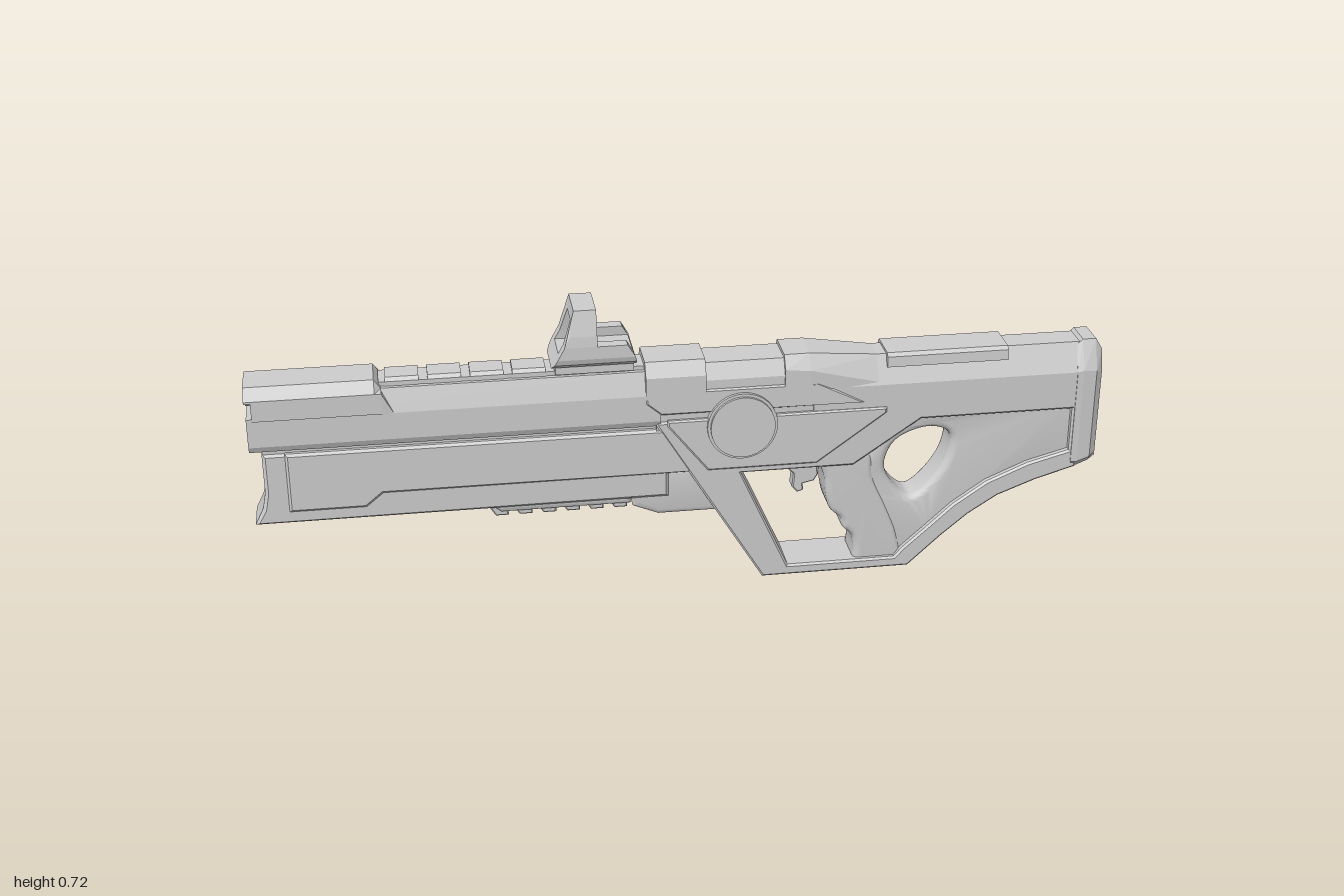
import * as THREE from 'three';
import { toCreasedNormals } from 'three/addons/utils/BufferGeometryUtils.js';

export function createModel() {
  const model = new THREE.Group();
  model.name = 'rifle';
  const grey = new THREE.MeshStandardMaterial({ color: 0xcccccc });
  grey.name = 'grey';

  const add = (name, geo) => {
    const mesh = new THREE.Mesh(geo, grey);
    mesh.name = name;
    model.add(mesh);
    return mesh;
  };
  const vecs = (pts) => pts.map(([x, y]) => new THREE.Vector2(x, y));
  // closed smooth outline through a few points
  const smooth = (pts, n = 40) => {
    const v = pts.map(([x, y]) => new THREE.Vector3(x, y, 0));
    return new THREE.CatmullRomCurve3(v, true).getPoints(n).slice(0, n).map((p) => [p.x, p.y]);
  };

  // side outline extruded symmetrically across z, with bevelled edges
  const plate = (name, pts, half, bevel = 0.008, holes = [], segs = 1) => {
    const shape = new THREE.Shape(vecs(pts));
    holes.forEach((h) => shape.holes.push(new THREE.Path(vecs(h))));
    const geo = new THREE.ExtrudeGeometry(shape, {
      depth: 2 * (half - bevel), bevelEnabled: true, bevelThickness: bevel,
      bevelSize: bevel, bevelOffset: -bevel, bevelSegments: segs,
    });
    geo.translate(0, 0, -(half - bevel));
    return add(name, toCreasedNormals(geo, 0.55));
  };

  // loft along x; each section is [x, half profile of [z, y] from bottom to top]
  const loft = (name, sections) => {
    const pos = [];
    const rings = sections.map(([x, half]) => {
      const ring = half.map(([z, y]) => [x, y, z]);
      return ring.concat(half.map(([z, y]) => [x, y, -z]).reverse());
    });
    const n = rings[0].length;
    const tri = (a, b, c) => pos.push(...a, ...b, ...c);
    for (let i = 0; i < rings.length - 1; i++) {
      for (let j = 0; j < n; j++) {
        const k = (j + 1) % n;
        tri(rings[i][j], rings[i + 1][j], rings[i + 1][k]);
        tri(rings[i][j], rings[i + 1][k], rings[i][k]);
      }
    }
    const first = rings[0], last = rings[rings.length - 1];
    for (let j = 1; j < n - 1; j++) {
      tri(first[0], first[j], first[j + 1]);
      tri(last[0], last[j + 1], last[j]);
    }
    const geo = new THREE.BufferGeometry();
    geo.setAttribute('position', new THREE.Float32BufferAttribute(pos, 3));
    geo.computeVertexNormals();
    return add(name, geo);
  };
  const prism = (name, x0, x1, half) => loft(name, [[x0, half], [x1, half]]);
  const box = (name, x0, x1, y0, y1, half) => prism(name, x0, x1, [[half, y0], [half, y1]]);

  // barrel shroud with a recessed seam beneath it
  prism('upperShroud', -0.98, -0.06, [[0.056, 0.42], [0.063, 0.435], [0.063, 0.5], [0.045, 0.555]]);
  prism('muzzleBand', -0.998, -0.9, [[0.056, 0.42], [0.063, 0.435], [0.063, 0.505]]);
  box('seam', -0.97, 0, 0.39, 0.43, 0.046);
  loft('muzzleTop', [
    [-1, [[0.066, 0.545], [0.066, 0.55], [0.045, 0.577]]],
    [-0.71, [[0.066, 0.545], [0.066, 0.55], [0.045, 0.577]]],
    [-0.695, [[0.066, 0.545], [0.066, 0.548], [0.046, 0.555]]],
  ]);
  loft('muzzleCheek', [
    [-0.985, [[0.066, 0.5], [0.066, 0.55]]],
    [-0.695, [[0.066, 0.5], [0.066, 0.55]]],
    [-0.67, [[0.064, 0.5], [0.064, 0.502]]],
  ]);
  const nub = add('muzzleTip', new THREE.CylinderGeometry(0.014, 0.014, 0.03, 16));
  nub.rotation.z = Math.PI / 2;
  nub.position.set(-0.985, 0.527, 0);

  // lower handguard and raised side panel
  plate('handguard', [[-1, 0.23], [-0.04, 0.23], [-0.04, 0.41], [-0.972, 0.41], [-0.972, 0.31], [-0.98, 0.27]], 0.052, 0.008);
  plate('handguardPanel', [[-0.92, 0.262], [-0.745, 0.262], [-0.705, 0.295], [0.03, 0.295], [-0.05, 0.41], [-0.92, 0.41]], 0.06, 0.006);

  // ribbed foregrip
  plate('foregrip', [[-0.48, 0.25], [-0.435, 0.215], [-0.13, 0.215], [-0.13, 0.29], [-0.45, 0.29]], 0.045, 0.012, [], 3);
  for (let i = 0; i < 6; i++) {
    const x = -0.46 + i * 0.056;
    plate('foregripRib', [[x + 0.012, 0.203], [x + 0.042, 0.203], [x + 0.042, 0.24], [x - 0.002, 0.24], [x - 0.002, 0.225]], 0.035, 0.003);
  }
  plate('foregripStop', [[-0.135, 0.25], [-0.125, 0.205], [-0.065, 0.18], [0.09, 0.18], [0.09, 0.3], [-0.135, 0.3]], 0.045, 0.015, [], 3);

  // top rail
  box('railBase', -0.7, -0.09, 0.55, 0.565, 0.034);
  for (let i = 0; i < 6; i++) {
    const x = -0.685 + i * 0.096;
    prism('railTooth', x, x + 0.076, [[0.036, 0.555], [0.036, 0.566], [0.028, 0.574]]);
  }

  // open sight: mount, cup and raked window frame
  box('sightMount', -0.3, -0.12, 0.56, 0.585, 0.045);
  const flip = (p) => p.map(([z, y]) => [-z, y]).reverse();
  const across = (name, outline, backX) => {
    const geo = new THREE.ExtrudeGeometry(new THREE.Shape(vecs(outline)), { depth: 1, bevelEnabled: false });
    const p = geo.attributes.position;
    for (let i = 0; i < p.count; i++) {
      const z = p.getX(i), y = p.getY(i);
      const frontX = y < 0.65 ? -0.31 + (y - 0.58) * 0.55 : -0.27 + (y - 0.65) * 0.2;
      p.setXYZ(i, p.getZ(i) > 0.5 ? backX(y) : frontX, y, -z);
    }
    geo.computeVertexNormals();
    add(name, geo);
  };
  const cup = [[0, 0.58], [0.05, 0.58], [0.066, 0.592], [0.07, 0.605], [0.07, 0.635], [0.041, 0.635], [0.043, 0.612], [0, 0.612]];
  const arch = [[0.07, 0.635], [0.067, 0.66], [0.052, 0.718]];
  const archHole = [[-0.041, 0.635], [-0.032, 0.69], [0.032, 0.69], [0.041, 0.635]];
  across('sightCup', [...cup, ...flip(cup).slice(1, -1)], (y) => (y < 0.6 ? -0.115 : -0.115 - (y - 0.6) * 0.6));
  across('sightWindow', [...arch, ...flip(arch), ...archHole], () => -0.205);

  // receiver core and top covers
  box('receiverCore', -0.07, 0.4, 0.305, 0.5, 0.057);
  prism('frontCollar', -0.095, 0.045, [[0.066, 0.49], [0.066, 0.545], [0.045, 0.578]]);
  prism('portCover', 0.045, 0.23, [[0.062, 0.49], [0.062, 0.53], [0.042, 0.567]]);
  loft('rearCover', [
    [0.23, [[0.066, 0.49], [0.066, 0.545], [0.045, 0.576]]],
    [0.29, [[0.066, 0.49], [0.066, 0.54], [0.045, 0.576]]],
    [0.47, [[0.058, 0.49], [0.058, 0.493], [0.03, 0.555]]],
  ]);

  // receiver side panels, parted by a groove
  plate('upperSidePanel', [[-0.06, 0.45], [0.42, 0.45], [0.31, 0.508], [-0.095, 0.508], [-0.095, 0.48]], 0.066, 0.004);
  plate('lowerSidePanel', [[-0.045, 0.42], [0.05, 0.3], [0.31, 0.3], [0.475, 0.42], [0.475, 0.434], [-0.045, 0.434]], 0.067, 0.004);

  // round side bosses
  [[0.083, 0.074], [0.076, 0.081]].forEach(([r, half]) => {
    const disc = add('sideDisc', new THREE.CylinderGeometry(r, r, 2 * half, 40));
    disc.rotation.x = Math.PI / 2;
    disc.position.set(0.13, 0.413, 0);
  });

  // lower frame: front strut, base and sweeping stock edge
  plate('lowerFrame',
    [[-0.07, 0.42], [0.185, 0], [0.545, 0], [0.625, 0.075], [0.69, 0.13], [0.76, 0.175], [0.85, 0.21], [0.95, 0.24], [0.95, 0.43], [-0.07, 0.43]],
    0.062, 0.005,
    [[[0.13, 0.285], [0.4, 0.285], [0.56, 0.395], [0.93, 0.395], [0.93, 0.285], [0.83, 0.258], [0.73, 0.215], [0.65, 0.16], [0.585, 0.1], [0.53, 0.05], [0.51, 0.027], [0.247, 0.027]]]);

  // hollowed stock web with a rounded opening
  plate('stockWeb',
    [[0.39, 0.34], [0.39, 0.2], [0.44, 0.015], [0.545, 0.015], [0.61, 0.075], [0.68, 0.135], [0.75, 0.185], [0.84, 0.225], [0.945, 0.255], [0.945, 0.425], [0.54, 0.425], [0.46, 0.36]],
    0.046, 0.018,
    [smooth([[0.482, 0.265], [0.508, 0.332], [0.59, 0.361], [0.638, 0.34], [0.632, 0.275], [0.585, 0.205], [0.55, 0.182], [0.518, 0.2]])], 5);

  // pistol grip with finger ridges
  plate('pistolGrip', smooth([
    [0.32, 0.31], [0.335, 0.25], [0.34, 0.2], [0.352, 0.16], [0.378, 0.135], [0.382, 0.112], [0.405, 0.088],
    [0.412, 0.055], [0.415, 0.012], [0.525, 0.012], [0.52, 0.08], [0.49, 0.16], [0.455, 0.24], [0.44, 0.31],
  ], 60), 0.05, 0.014, [], 4);

  // trigger
  plate('trigger', [[0.235, 0.3], [0.25, 0.265], [0.265, 0.25], [0.262, 0.215], [0.275, 0.2], [0.29, 0.205], [0.288, 0.222], [0.315, 0.228], [0.325, 0.245], [0.32, 0.3]], 0.018, 0.003);

  // upper stock, cheek rest and butt pad
  prism('upperStock', 0.3, 0.945, [[0.05, 0.395], [0.062, 0.425], [0.062, 0.49], [0.032, 0.557]]);
  prism('cheekRest', 0.475, 0.765, [[0.052, 0.53], [0.05, 0.555], [0.042, 0.563]]);
  loft('buttPad', [
    [0.935, [[0.05, 0.236], [0.064, 0.255], [0.064, 0.49], [0.034, 0.548]]],
    [0.95, [[0.052, 0.238], [0.065, 0.255], [0.065, 0.495], [0.036, 0.564]]],
    [0.982, [[0.05, 0.25], [0.062, 0.265], [0.062, 0.49], [0.036, 0.564]]],
    [1, [[0.045, 0.26], [0.046, 0.27], [0.046, 0.48], [0.033, 0.535]]],
  ]);

  return model;
}
